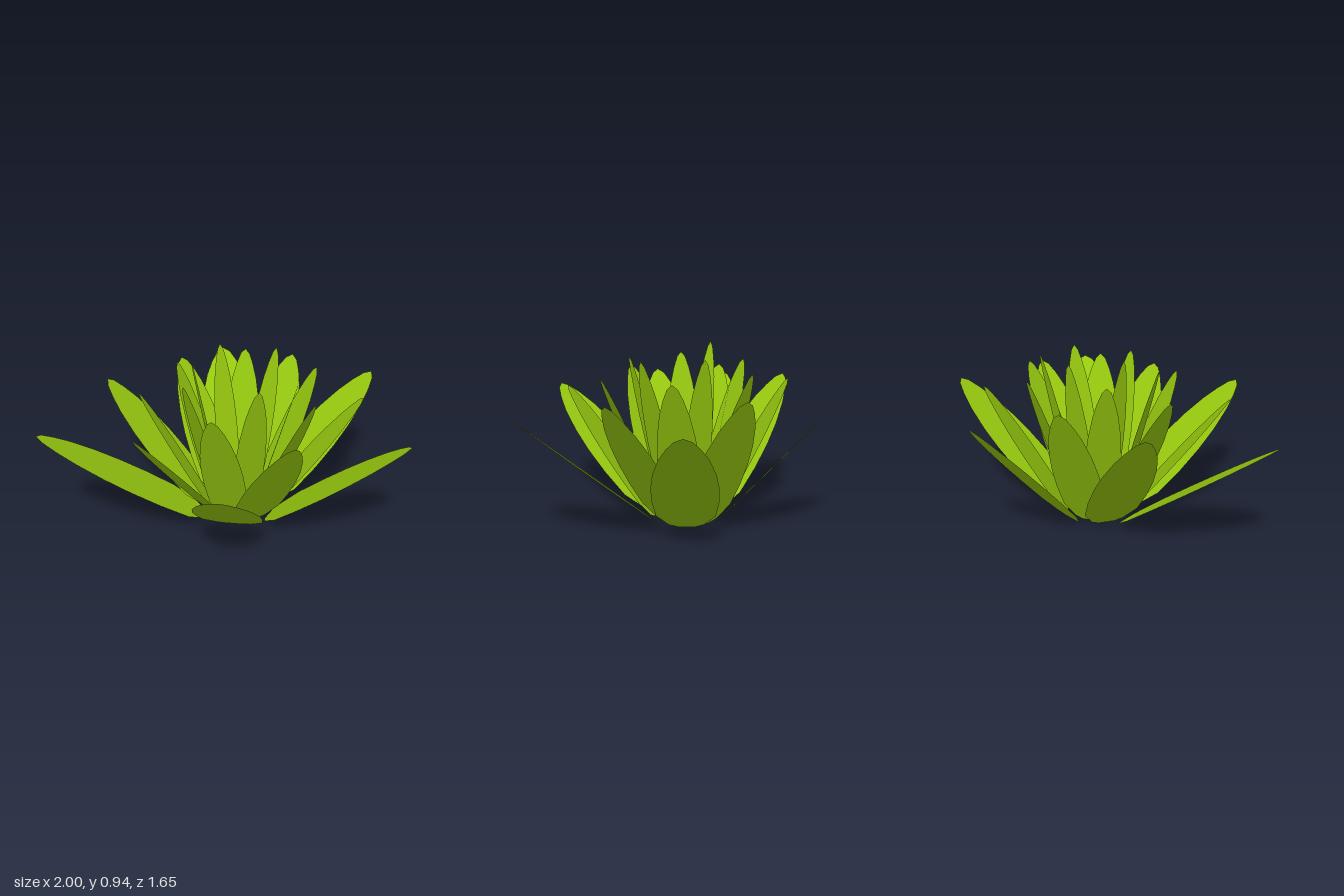
import * as THREE from 'three';

// Centre of the rosette on the ground
const CENTRE = new THREE.Vector3(0.1, 0, -0.05);

// Leaf tips, from the outermost leaf to the innermost
const TIPS = [
  [-1.0, 0.64, -0.05], [0.77, 0.66, 0.66], [-0.29, 0.645, 0.82], [0.25, 0.68, -0.83],
  [1.0, 0.67, -0.23], [-0.55, 0.71, -0.5], [0.165, 0.72, 0.6], [0.57, 0.75, -0.44],
  [-0.55, 0.71, 0.28], [0.73, 0.73, 0.2], [-0.09, 0.76, -0.57], [-0.44, 0.77, -0.13],
  [-0.17, 0.79, 0.34], [0.38, 0.8, 0.34], [0.57, 0.815, -0.08], [0.26, 0.83, -0.42],
  [-0.18, 0.845, -0.31], [-0.24, 0.865, 0.06], [0.1, 0.88, 0.27], [0.4, 0.895, 0.12],
  [0.37, 0.91, -0.2], [0.07, 0.925, -0.31], [-0.15, 0.94, -0.13],
];

// Half-width of a leaf along its length: [along, width]
const OUTLINE = [
  [0, 0.28], [0.03, 0.55], [0.15, 0.92], [0.33, 1], [0.5, 0.98],
  [0.65, 0.88], [0.8, 0.68], [0.9, 0.46], [0.97, 0.24], [1, 0],
];

// Flat leaf spanning base to tip, level across its width
function leafGeometry(base, tip, halfWidth) {
  const axis = tip.clone().sub(base);
  const across = new THREE.Vector3(axis.z, 0, -axis.x).normalize().multiplyScalar(halfWidth);
  const positions = [];
  const indices = [];
  OUTLINE.forEach(([t, w], row) => {
    for (const side of [-1, 1]) {
      const p = base.clone().addScaledVector(axis, t).addScaledVector(across, side * w);
      positions.push(p.x, p.y, p.z);
    }
    if (row > 0) {
      const a = row * 2 - 2;
      indices.push(a, a + 1, a + 2, a + 1, a + 3, a + 2);
    }
  });
  const geometry = new THREE.BufferGeometry();
  geometry.setAttribute('position', new THREE.Float32BufferAttribute(positions, 3));
  geometry.setIndex(indices);
  geometry.computeVertexNormals();
  return geometry;
}

export function createModel() {
  const model = new THREE.Group();
  model.name = 'leafRosette';
  const green = new THREE.MeshStandardMaterial({ color: 0x96c80f, side: THREE.DoubleSide });

  // Leaves grow narrower and closer to the centre towards the middle
  TIPS.forEach((point, i) => {
    const k = i / (TIPS.length - 1);
    const tip = new THREE.Vector3(...point);
    const outward = tip.clone().sub(CENTRE).setY(0).normalize();
    const base = CENTRE.clone().addScaledVector(outward, THREE.MathUtils.lerp(0.21, 0.08, k));
    const leaf = new THREE.Mesh(leafGeometry(base, tip, THREE.MathUtils.lerp(0.19, 0.065, k)), green);
    leaf.name = `leaf${i + 1}`;
    model.add(leaf);
  });
  return model;
}
